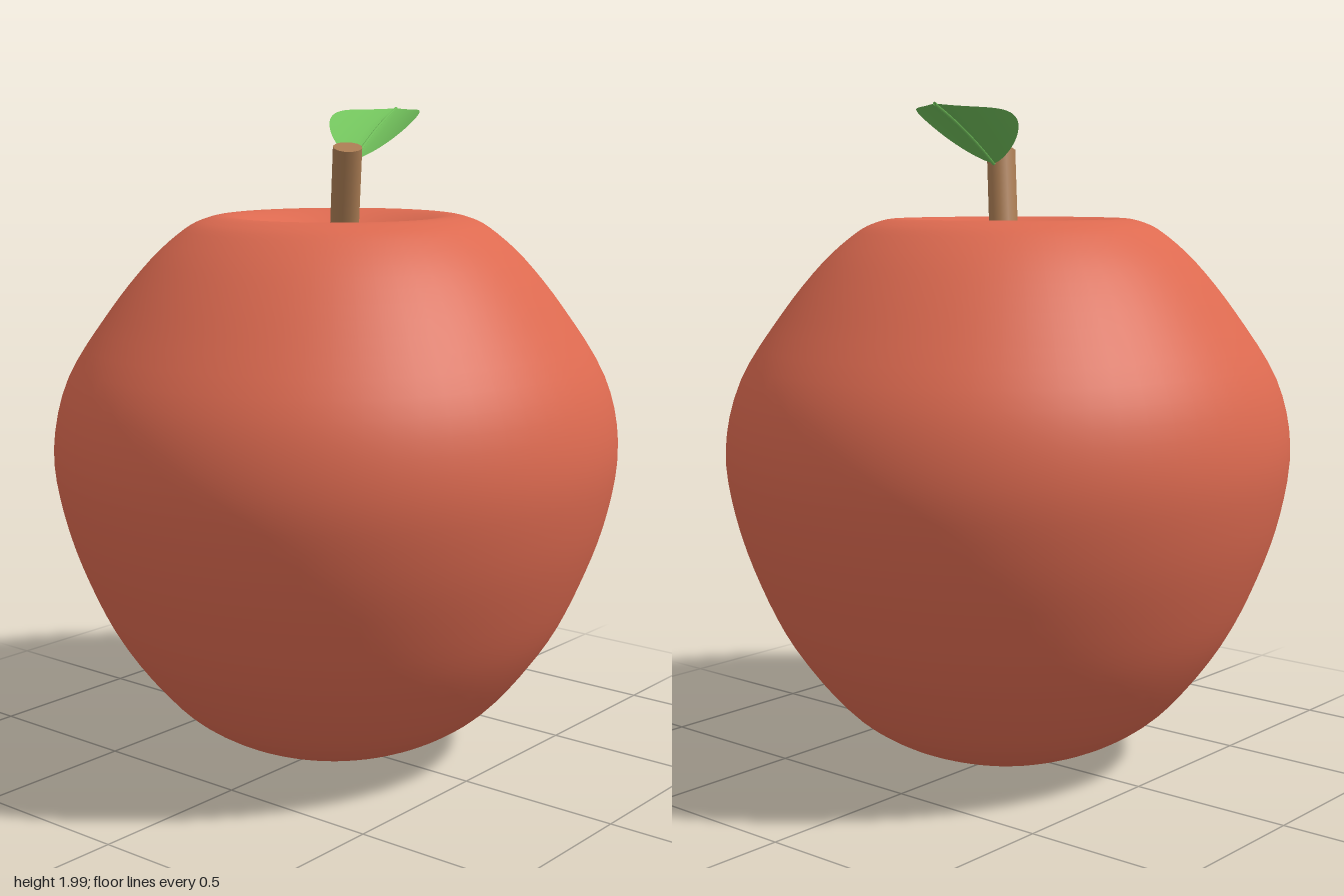
import * as THREE from 'three';

const material = (name, color, extra = {}) => {
  const m = new THREE.MeshStandardMaterial({ color, ...extra });
  m.name = name;
  return m;
};

const part = (name, geometry, mat) => {
  const mesh = new THREE.Mesh(geometry, mat);
  mesh.name = name;
  return mesh;
};

// Fruit: smooth revolved profile with a dimple at the top, slightly narrower in z
function fruitGeometry() {
  const profile = [
    [0, 0.005], [0.13, 0.014], [0.26, 0.045], [0.41, 0.11], [0.54, 0.21], [0.69, 0.4],
    [0.79, 0.6], [0.857, 0.8], [0.882, 1.0], [0.835, 1.2], [0.705, 1.4], [0.58, 1.55],
    [0.475, 1.64], [0.41, 1.672], [0.35, 1.682], [0.28, 1.668], [0.19, 1.635],
    [0.1, 1.596], [0, 1.56],
  ].map(([r, y]) => new THREE.Vector2(r, y));
  const points = new THREE.SplineCurve(profile).getPoints(72);
  points.forEach((p) => { p.x = Math.max(p.x, 0); });
  points[0].x = points[points.length - 1].x = 0;
  return new THREE.LatheGeometry(points, 64).scale(1, 1, 0.957);
}

// Stem: straight cylinder leaning out of the dimple
function stemMesh(mat) {
  const base = new THREE.Vector3(0.038, 1.56, -0.01);
  const tip = new THREE.Vector3(-0.035, 1.885, 0.065);
  const axis = tip.clone().sub(base);
  const stem = part('stem', new THREE.CylinderGeometry(0.044, 0.044, axis.length(), 12), mat);
  stem.position.copy(base).lerp(tip, 0.5);
  stem.quaternion.setFromUnitVectors(new THREE.Vector3(0, 1, 0), axis.normalize());
  return stem;
}

// Point on the leaf: f runs from base to tip, s from edge (-1) to edge (1)
function leafPoint(f, s) {
  const half = 0.137 * Math.pow(Math.max(Math.sin(Math.PI * Math.pow(f, 0.9)), 0), 0.9);
  const w = half * s;
  return new THREE.Vector3(
    0.04 + 0.57 * f - 0.441 * w,
    1.845 + 0.19 * f - 0.04 * f * f + 0.12 * Math.abs(w) + 1.75 * w * w,
    0.03 - 0.28 * f - 0.898 * w,
  );
}

// Leaf blade: a plane bent into a pointed, shallow trough
function leafGeometry() {
  const geometry = new THREE.PlaneGeometry(1, 2, 28, 10);
  const pos = geometry.attributes.position;
  for (let i = 0; i < pos.count; i++) {
    const p = leafPoint(pos.getX(i) + 0.5, pos.getY(i));
    pos.setXYZ(i, p.x, p.y, p.z);
  }
  geometry.computeVertexNormals();
  return geometry;
}

// Midrib: thin tube along the middle of the blade
function midribGeometry() {
  const points = [0, 0.25, 0.5, 0.75, 1].map((f) => leafPoint(f, 0));
  return new THREE.TubeGeometry(new THREE.CatmullRomCurve3(points), 20, 0.005, 6);
}

export function createModel() {
  const red = material('fruitRed', 0xdd6a50);
  const brown = material('stemBrown', 0xab7d54);
  const green = material('leafGreen', 0x72c25c, { side: THREE.DoubleSide });

  const leaf = new THREE.Group();
  leaf.name = 'leaf';
  leaf.add(part('leafBlade', leafGeometry(), green), part('leafMidrib', midribGeometry(), green));

  const model = new THREE.Group();
  model.name = 'apple';
  model.add(part('fruit', fruitGeometry(), red), stemMesh(brown), leaf);
  return model;
}
